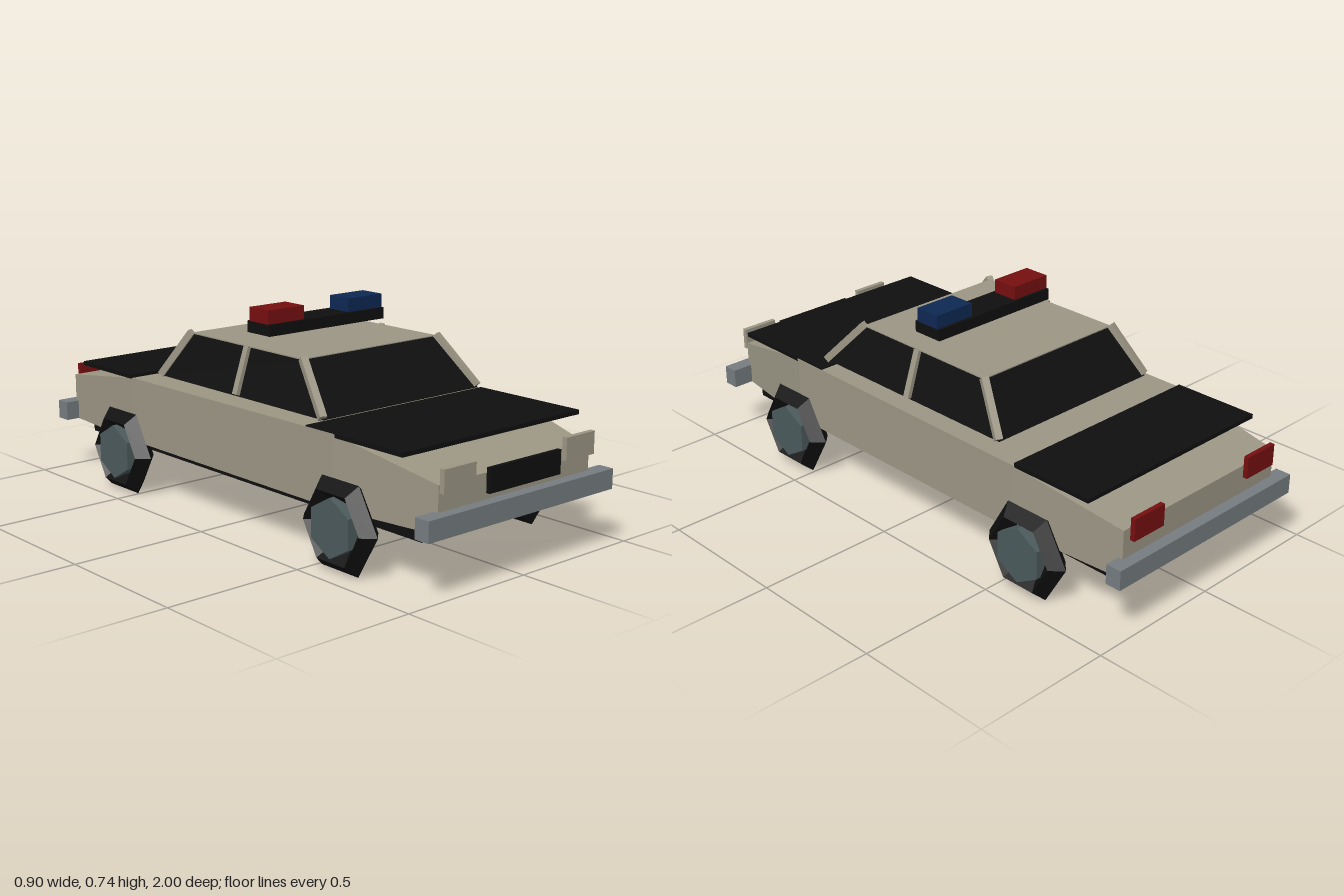
import * as THREE from 'three';

const paint = (name, color) => {
  const m = new THREE.MeshStandardMaterial({ color });
  m.name = name;
  return m;
};

// Facet a geometry so every face is flat
function flat(geometry) {
  const g = geometry.index ? geometry.toNonIndexed() : geometry;
  g.computeVertexNormals();
  return g;
}

// Solid through four-cornered rings, each counterclockwise seen from the last ring's end
function loft(rings) {
  const index = [];
  for (let i = 0; i < rings.length - 1; i++) {
    for (let j = 0; j < 4; j++) {
      const a = i * 4 + j, b = i * 4 + (j + 1) % 4;
      index.push(a, b, b + 4, a, b + 4, a + 4);
    }
  }
  const e = (rings.length - 1) * 4;
  index.push(0, 2, 1, 0, 3, 2, e, e + 1, e + 2, e, e + 2, e + 3);
  const g = new THREE.BufferGeometry();
  g.setAttribute('position', new THREE.Float32BufferAttribute(rings.flat(2), 3));
  g.setIndex(index);
  return flat(g);
}

export function createModel() {
  const beige = paint('beigePaint', 0x9c9684);
  const black = paint('black', 0x0f0f0f);
  const grey = paint('bumperGrey', 0x757c80);
  const steel = paint('hubSteel', 0x4b5a5c);
  const red = paint('red', 0x760f10);
  const blue = paint('blue', 0x0e2853);

  const car = new THREE.Group();
  car.name = 'patrolCar';

  const add = (name, geometry, material) => {
    const mesh = new THREE.Mesh(geometry, material);
    mesh.name = name;
    car.add(mesh);
    return mesh;
  };
  // Box given by its limits on each axis
  const block = (name, material, [x0, x1], [y0, y1], [z0, z1]) => {
    const mesh = add(name, new THREE.BoxGeometry(x1 - x0, y1 - y0, z1 - z0), material);
    mesh.position.set((x0 + x1) / 2, (y0 + y1) / 2, (z0 + z1) / 2);
    return mesh;
  };
  // Square bar between two points
  const bar = (name, material, from, to, size) => {
    const a = new THREE.Vector3(...from), b = new THREE.Vector3(...to);
    const mesh = add(name, new THREE.BoxGeometry(size, size, a.distanceTo(b)), material);
    mesh.position.copy(a).add(b).multiplyScalar(0.5);
    mesh.lookAt(b);
  };

  // Body: z, half width, top height, from back to front
  const sections = [
    [-0.96, 0.37, 0.365], [-0.52, 0.405, 0.43], [0.56, 0.405, 0.437], [0.96, 0.345, 0.35],
  ];
  add('body', loft(sections.map(([z, w, t]) =>
    [[-w, 0.195, z], [w, 0.195, z], [w, t, z], [-w, t, z]])), beige);
  block('underbody', black, [-0.34, 0.34], [0.153, 0.197], [-0.885, 0.89]);

  // Hood and trunk panels
  block('hood', black, [-0.404, 0.404], [0.425, 0.44], [0.43, 0.867]);
  block('trunkLid', black, [-0.404, 0.404], [0.425, 0.44], [-0.845, -0.53]);

  // Cabin windows: height, half width, front z, back z
  const cabin = [[0.452, 0.355, 0.46, -0.415], [0.615, 0.303, 0.303, -0.292]];
  add('windows', loft(cabin.map(([y, w, f, b]) =>
    [[-w, y, f], [w, y, f], [w, y, b], [-w, y, b]])), black);
  block('roof', beige, [-0.305, 0.305], [0.614, 0.618], [-0.293, 0.303]);

  // Bumpers and grille
  block('frontBumper', grey, [-0.424, 0.424], [0.196, 0.265], [0.943, 1]);
  block('rearBumper', grey, [-0.424, 0.424], [0.196, 0.265], [-1, -0.943]);
  block('grille', black, [-0.163, 0.163], [0.295, 0.376], [0.983, 0.997]);

  // Wheel shapes: six-sided tyre ring with a diamond section, and hub
  const tyre = flat(new THREE.TorusGeometry(0.13, 0.041, 4, 6).rotateY(Math.PI / 2));
  const hub = flat(new THREE.CylinderGeometry(0.1, 0.1, 0.09, 6)
    .rotateZ(Math.PI / 2).rotateX(Math.PI / 2));

  for (const s of [-1, 1]) {
    const side = s > 0 ? 'left' : 'right';
    const xs = s > 0 ? [0.207, 0.344] : [-0.344, -0.207];
    block(side + 'Headlight', beige, xs, [0.325, 0.402], [0.964, 0.982]);
    block(side + 'TailLight', red, xs, [0.325, 0.402], [-0.981, -0.964]);

    // Roof pillars
    bar(side + 'FrontPillar', beige, [s * 0.354, 0.457, 0.455], [s * 0.304, 0.62, 0.303], 0.025);
    bar(side + 'MiddlePillar', beige, [s * 0.357, 0.457, 0.022], [s * 0.304, 0.616, 0.022], 0.024);
    bar(side + 'RearPillar', beige, [s * 0.354, 0.457, -0.41], [s * 0.304, 0.62, -0.293], 0.025);

    // Wheels
    for (const [end, z] of [['Front', 0.596], ['Rear', -0.592]]) {
      add(side + end + 'Tyre', tyre, black).position.set(s * 0.405, 0.148, z);
      add(side + end + 'Hub', hub, steel).position.set(s * 0.405, 0.148, z);
    }
  }

  // Light bar above the roof
  block('lightBarBase', black, [-0.262, 0.262], [0.652, 0.692], [-0.035, 0.083]);
  block('redBeacon', red, [-0.262, -0.103], [0.692, 0.74], [-0.024, 0.074]);
  block('blueBeacon', blue, [0.102, 0.261], [0.692, 0.74], [-0.024, 0.074]);

  return car;
}
